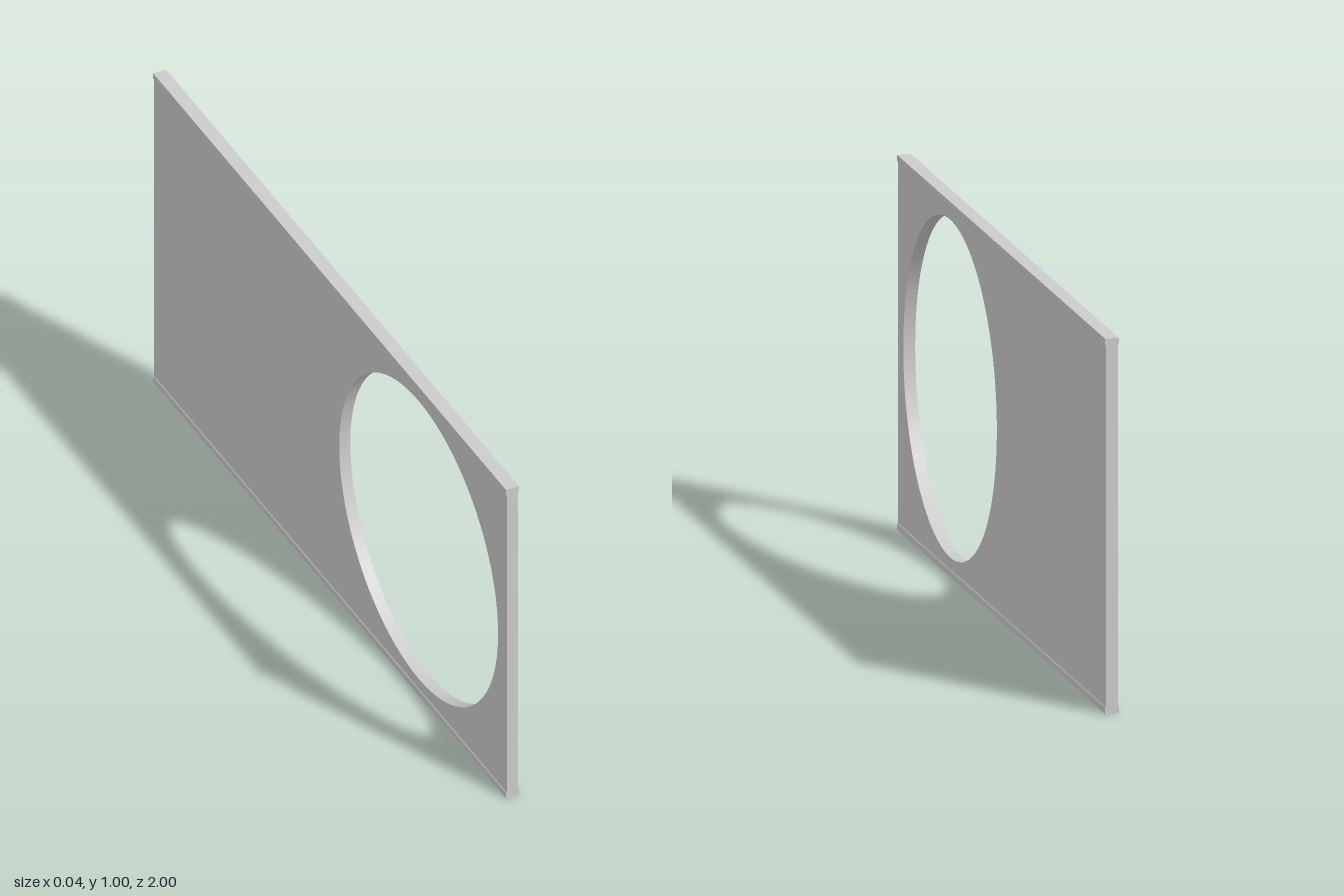
import * as THREE from 'three';

const LENGTH = 2, HEIGHT = 1;
const PANEL_HALF = 0.016, RAIL_HALF = 0.0185;
const RAIL_STRAIGHT = 0.016, RAIL_HEIGHT = 0.02;

const material = new THREE.MeshStandardMaterial({ color: 0xcccccc });

// Flat slab with a large round opening towards the front end
function makePanel() {
  const shape = new THREE.Shape([
    new THREE.Vector2(-LENGTH / 2, RAIL_HEIGHT),
    new THREE.Vector2(LENGTH / 2, RAIL_HEIGHT),
    new THREE.Vector2(LENGTH / 2, HEIGHT - RAIL_HEIGHT),
    new THREE.Vector2(-LENGTH / 2, HEIGHT - RAIL_HEIGHT),
  ]);
  const opening = new THREE.Path();
  opening.absarc(-0.5, 0.5, 0.45, 0, Math.PI * 2, true);
  shape.holes.push(opening);
  const geometry = new THREE.ExtrudeGeometry(shape, {
    depth: PANEL_HALF * 2, bevelEnabled: false, curveSegments: 96,
  });
  geometry.translate(0, 0, -PANEL_HALF);
  geometry.rotateY(Math.PI / 2);
  const mesh = new THREE.Mesh(geometry, material);
  mesh.name = 'panel';
  return mesh;
}

// Edge rail, slightly wider than the panel and chamfered where they meet
function makeRail(name) {
  const shape = new THREE.Shape([
    new THREE.Vector2(-RAIL_HALF, 0),
    new THREE.Vector2(RAIL_HALF, 0),
    new THREE.Vector2(RAIL_HALF, RAIL_STRAIGHT),
    new THREE.Vector2(PANEL_HALF, RAIL_HEIGHT),
    new THREE.Vector2(-PANEL_HALF, RAIL_HEIGHT),
    new THREE.Vector2(-RAIL_HALF, RAIL_STRAIGHT),
  ]);
  const geometry = new THREE.ExtrudeGeometry(shape, { depth: LENGTH, bevelEnabled: false });
  geometry.translate(0, 0, -LENGTH / 2);
  const mesh = new THREE.Mesh(geometry, material);
  mesh.name = name;
  return mesh;
}

export function createModel() {
  const group = new THREE.Group();
  group.name = 'panelWithRoundOpening';
  const bottomRail = makeRail('bottomRail');
  const topRail = makeRail('topRail');
  topRail.rotation.z = Math.PI;
  topRail.position.y = HEIGHT;
  group.add(makePanel(), bottomRail, topRail);
  return group;
}
